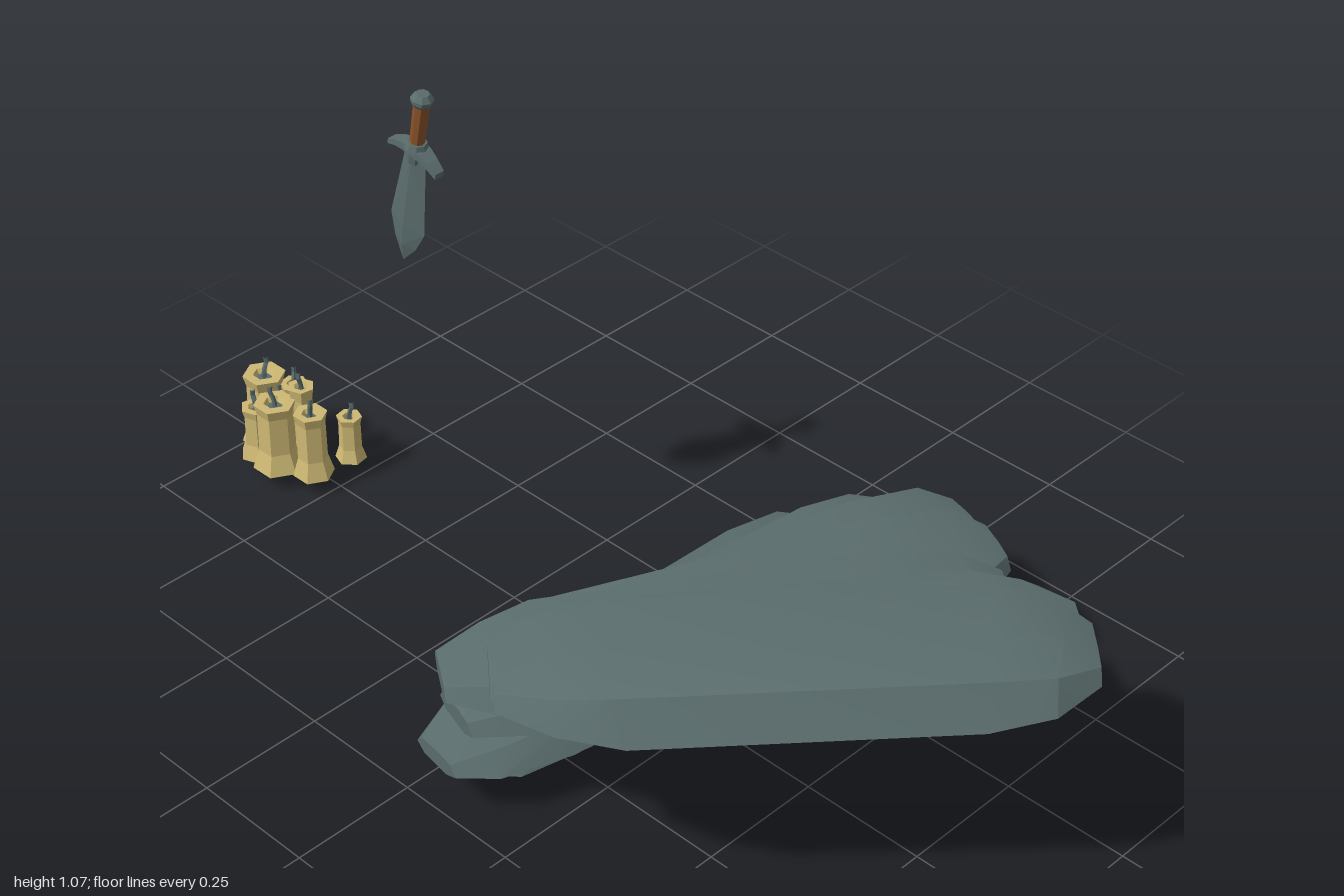
import * as THREE from 'three';
import { toCreasedNormals } from 'three/addons/utils/BufferGeometryUtils.js';
import { ConvexGeometry } from 'three/addons/geometries/ConvexGeometry.js';

const V = (x, y, z) => new THREE.Vector3(x, y, z);
const paint = (name, color) => {
  const m = new THREE.MeshStandardMaterial({ color });
  m.name = name;
  return m;
};

// Faceted normals for low-poly parts
const facet = (g) => {
  const f = g.index ? g.toNonIndexed() : g;
  f.computeVertexNormals();
  return f;
};

function add(parent, name, geometry, material, x = 0, y = 0, z = 0) {
  const m = new THREE.Mesh(geometry, material);
  m.name = name;
  m.position.set(x, y, z);
  parent.add(m);
  return m;
}

function seeded(seed) {
  return () => {
    seed = (seed * 16807) % 2147483647;
    return seed / 2147483647;
  };
}

// Stone step: chamfered cross-sections from the left tip a to the right tip b
const SECTION = [[1, -0.3], [0.72, 0.75], [0.1, 1], [-0.75, 0.92], [-1, 0], [-0.65, -0.85], [0.5, -1]];
const STATIONS = [[0, 0.45, 0.35], [0.08, 0.8, 0.7], [0.19, 1, 1], [0.82, 1, 1], [0.93, 0.85, 0.75], [1, 0.45, 0.35]];

function slabGeometry(a, b, halfWidth, halfHeight, rand) {
  const along = V(b.x - a.x, 0, b.z - a.z).normalize();
  const across = V(-along.z, 0, along.x);
  const points = [];
  for (const [t, w, h] of STATIONS) {
    const centre = a.clone().lerp(b, t);
    for (const [u, v] of SECTION) {
      const p = centre.clone().addScaledVector(across, u * w * halfWidth);
      p.y += v * h * halfHeight;
      if (t > 0 && t < 1) p.addScaledVector(along, (rand() - 0.5) * 0.05);
      points.push(p);
    }
  }
  return toCreasedNormals(new ConvexGeometry(points), 0.3);
}

function makeSteps(stone) {
  const g = new THREE.Group();
  g.name = 'stoneSteps';
  const rand = seeded(41);
  // left tip, right tip, half width, half height
  const slabs = [
    [V(-0.44, 0.08, 0.075), V(0.53, 0.046, 0.072), 0.125, 0.05],
    [V(-0.49, 0.11, 0.07), V(0.57, 0.14, 0.22), 0.13, 0.05],
    [V(-0.45, 0.19, 0.08), V(0.57, 0.215, 0.37), 0.135, 0.055],
    [V(-0.43, 0.26, 0.09), V(0.465, 0.29, 0.52), 0.14, 0.053],
    [V(-0.5, 0.32, 0.1), V(0.32, 0.345, 0.66), 0.14, 0.055],
    [V(-0.48, 0.375, 0.2), V(0.265, 0.41, 0.85), 0.145, 0.06],
    [V(-0.53, 0.43, 0.27), V(0.17, 0.472, 0.95), 0.16, 0.065],
  ];
  slabs.forEach(([a, b, w, h], i) => add(g, `stoneStep${i + 1}`, slabGeometry(a, b, w, h, rand), stone));
  return g;
}

function makeDagger(stone, leather) {
  const g = new THREE.Group();
  g.name = 'dagger';
  // Blade: diamond section, widening toward the point
  const blade = [V(0, 0, 0)];
  for (const [y, w, t] of [[0.235, 0.027, 0.011], [0.085, 0.044, 0.012], [0.04, 0.027, 0.009]]) {
    blade.push(V(0, y, w), V(0, y, -w), V(t, y, 0), V(-t, y, 0));
  }
  add(g, 'blade', facet(new ConvexGeometry(blade)), stone);
  const band = (name, top, bottom, h, y, m) => add(g, name, facet(new THREE.CylinderGeometry(top, bottom, h, 8)), m, 0, y, 0);
  band('bladeCollar', 0.017, 0.015, 0.022, 0.24, stone);
  // Crossguard: arched bar with drooping ends
  const guard = new THREE.BoxGeometry(0.036, 0.016, 0.124, 1, 1, 6);
  const p = guard.attributes.position;
  for (let i = 0; i < p.count; i++) {
    const k = Math.abs(p.getZ(i)) / 0.062;
    p.setX(i, p.getX(i) * (1 - 0.45 * k));
    p.setY(i, p.getY(i) * (1 - 0.3 * k) - 0.02 * k * k);
  }
  add(g, 'crossguard', facet(guard), stone, 0, 0.257, 0);
  band('gripCollar', 0.018, 0.023, 0.014, 0.265, stone);
  band('grip', 0.015, 0.014, 0.09, 0.312, leather);
  add(g, 'pommel', facet(new THREE.LatheGeometry(
    [[0, 0], [0.015, 0], [0.021, 0.008], [0.021, 0.015], [0.012, 0.025], [0, 0.025]].map(([x, y]) => new THREE.Vector2(x, y)), 8)),
  stone, 0, 0.352, 0);
  g.position.set(-0.06, 0.7, -0.457);
  g.rotation.x = 0.19;
  return g;
}

function makeCandles(wax, stone) {
  const g = new THREE.Group();
  g.name = 'candles';
  // x, z, radius, height
  const list = [
    [-0.02, -0.945, 0.053, 0.155], [0.022, -0.905, 0.036, 0.13], [-0.07, -0.915, 0.038, 0.115],
    [-0.065, -0.86, 0.052, 0.15], [-0.018, -0.89, 0.034, 0.12], [-0.01, -0.843, 0.034, 0.17],
    [-0.035, -0.788, 0.042, 0.145], [0.052, -0.775, 0.032, 0.1],
  ];
  const base = 0.035;
  list.forEach(([x, z, r, h], i) => {
    const c = new THREE.Group();
    c.name = `candle${i + 1}`;
    c.position.set(x, base, z);
    c.rotation.y = i * 0.7;
    // Flared foot, thick rim and melted hollow
    const profile = [[0, 0], [r, 0], [r * 0.72, h * 0.28], [r * 0.7, h * 0.85], [r * 0.82, h], [r * 0.42, h], [r * 0.3, h - 0.012], [0, h - 0.012]];
    add(c, 'waxBody', facet(new THREE.LatheGeometry(profile.map(([a, b]) => new THREE.Vector2(a, b)), 6)), wax);
    const path = new THREE.CatmullRomCurve3([V(0, h - 0.014, 0), V(0.001, h + 0.008, 0), V(0.008, h + 0.02, 0), V(0.007, h + 0.037, 0)]);
    add(c, 'wick', facet(new THREE.TubeGeometry(path, 4, 0.005, 5)), stone);
    // Melt pool around the wick
    add(c, 'meltPool', facet(new THREE.CylinderGeometry(r * 0.3, r * 0.3, 0.003, 6)), stone, 0, h - 0.011, 0);
    g.add(c);
  });
  return g;
}

export function createModel() {
  const stone = paint('slate grey', 0x5a6c6c);
  const leather = paint('leather brown', 0x8a5228);
  const wax = paint('candle wax', 0xcdb873);
  const model = new THREE.Group();
  model.name = 'stoneStepsWithDaggerAndCandles';
  model.add(makeSteps(stone), makeDagger(stone, leather), makeCandles(wax, stone));
  return model;
}
